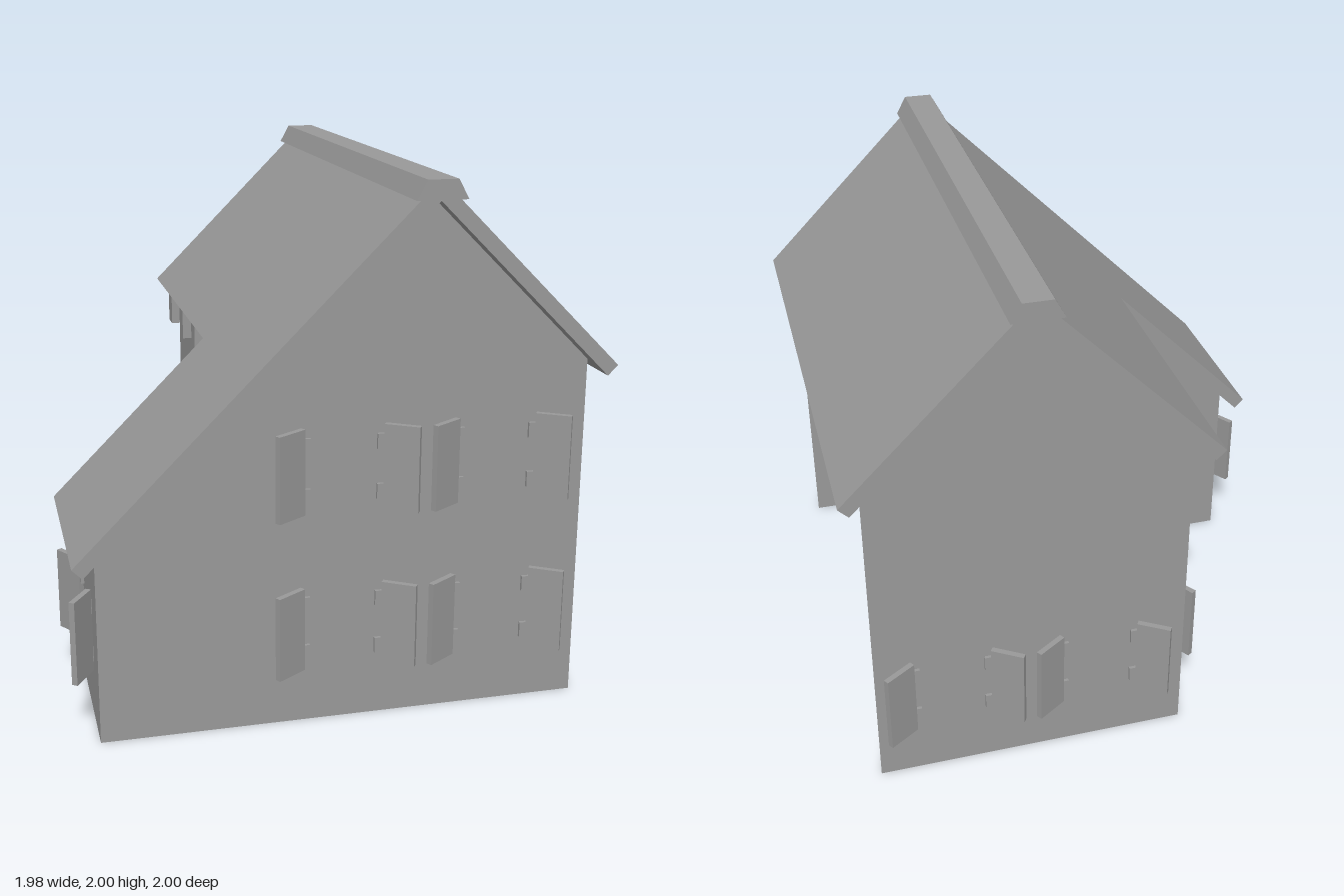
import * as THREE from 'three';

const solid = new THREE.MeshStandardMaterial({ color: 0x999999, flatShading: true });
const thin = new THREE.MeshStandardMaterial({ color: 0x999999, flatShading: true, side: THREE.DoubleSide });

const shapeOf = (pts) => new THREE.Shape(pts.map(([x, y]) => new THREE.Vector2(x, y)));
const extrude = (pts, depth) => new THREE.ExtrudeGeometry(shapeOf(pts), { depth, bevelEnabled: false });

const RIDGE_X = 0.3, RIDGE_Y = 1.925; // underside of the ridge
const W = 0.905;                      // half width and half depth of the walls
const roofY = (x) => RIDGE_Y - Math.abs(x - RIDGE_X);

// Removes the faces that look down the slope (local +x), leaving the eaves open
function openEaves(geometry) {
  const p = geometry.attributes.position, n = geometry.attributes.normal, kept = [];
  for (let i = 0; i < p.count; i += 3) {
    if (n.getX(i) > 0.9) continue;
    for (let j = i; j < i + 3; j++) kept.push(p.getX(j), p.getY(j), p.getZ(j));
  }
  const open = new THREE.BufferGeometry();
  open.setAttribute('position', new THREE.Float32BufferAttribute(kept, 3));
  open.computeVertexNormals();
  return open;
}

export function createModel() {
  const house = new THREE.Group();
  house.name = 'house';

  const add = (name, geometry, material = solid, parent = house) => {
    const mesh = new THREE.Mesh(geometry, material);
    mesh.name = name;
    parent.add(mesh);
    return mesh;
  };

  // Thin walls; the +x side and the floor are open
  const wallZ = (name, z, pts) => add(name, new THREE.ShapeGeometry(shapeOf(pts)).translate(0, 0, z), thin);
  const wallX = (name, x, pts) =>
    add(name, new THREE.ShapeGeometry(shapeOf(pts)).rotateY(-Math.PI / 2).translate(x, 0, 0), thin);

  const gable = (x0) => [[x0, 0], [W, 0], [W, roofY(W)], [RIDGE_X, RIDGE_Y], [x0, roofY(x0)]];
  wallZ('frontWall', W, gable(-W));
  wallZ('backWall', -W, gable(-0.3));
  wallZ('wingBackWall', 0.3, [[-W, 0], [-0.3, 0], [-0.3, roofY(-0.3)], [-W, roofY(-W)]]);
  wallX('wingEndWall', -W, [[0.3, 0], [W, 0], [W, roofY(-W)], [0.3, roofY(-W)]]);
  // Long side wall with a doorway into the wing
  wallX('sideWall', -0.3, [[-W, 0], [0.6, 0], [0.6, 1.21], [W, 1.21], [W, roofY(-0.3)], [-W, roofY(-0.3)]]);

  // Roof slabs: outline is (distance down the slope, z), raised along the slope normal
  const roofSlab = (name, side, outline) => {
    const down = new THREE.Vector3(side, -1, 0).normalize();
    const out = new THREE.Vector3(side, 1, 0).normalize();
    const along = out.clone().cross(down);
    const m = new THREE.Matrix4().makeBasis(down, along, out).setPosition(RIDGE_X, RIDGE_Y, 0);
    add(name, openEaves(extrude(outline, 0.053)).applyMatrix4(m), thin);
  };
  const e = 0.984;
  roofSlab('leftRoof', 1, [[0, -e], [0.92, -e], [0.92, e], [0, e]]);
  roofSlab('rightRoof', -1, [[0, -e], [0.923, -e], [0.923, 0.23], [1.771, 0.23], [1.771, e], [0, e]]);

  // Ridge cap
  add('ridgeCap', extrude([[-0.093, 0], [0.093, 0], [0.055, 0.07], [-0.055, 0.07]], 2)
    .translate(RIDGE_X, 1.93, -1));

  // Brackets under the recessed eave
  for (let i = 0; i < 4; i++) {
    add('eaveBracket', new THREE.BoxGeometry(0.065, 0.13, 0.08).translate(-0.3325, 1.22, -0.755 + i * 0.3));
  }

  // Half-open shutters with flat hinge tabs on the wall
  const swing = THREE.MathUtils.degToRad(33);
  const shutterPair = (x, y, z, turn) => {
    const pair = new THREE.Group();
    pair.name = 'shutterPair';
    for (const side of [-1, 1]) {
      const panel = add(side > 0 ? 'leftShutter' : 'rightShutter',
        new THREE.BoxGeometry(0.13, 0.32, 0.022).translate(side * 0.065, 0.16, 0.011), solid, pair);
      panel.position.x = side * 0.156;
      panel.rotation.y = -side * swing;
      for (const v of [0.066, 0.254]) {
        add('hingeTab', new THREE.BoxGeometry(0.036, 0.058, 0.012).translate(side * 0.141, v, 0.006), solid, pair);
      }
    }
    pair.position.set(x, y, z);
    pair.rotation.y = turn;
    house.add(pair);
  };
  for (const x of [-0.01, 0.5625]) {
    for (const y of [0.21, 0.813]) shutterPair(x, y, W, 0);
  }
  for (const x of [0.04, 0.6125]) shutterPair(x, 0.21, -W, Math.PI);
  shutterPair(-0.3, 0.21, -0.54, -Math.PI / 2);
  shutterPair(-W, 0.21, 0.59, -Math.PI / 2);

  return house;
}
